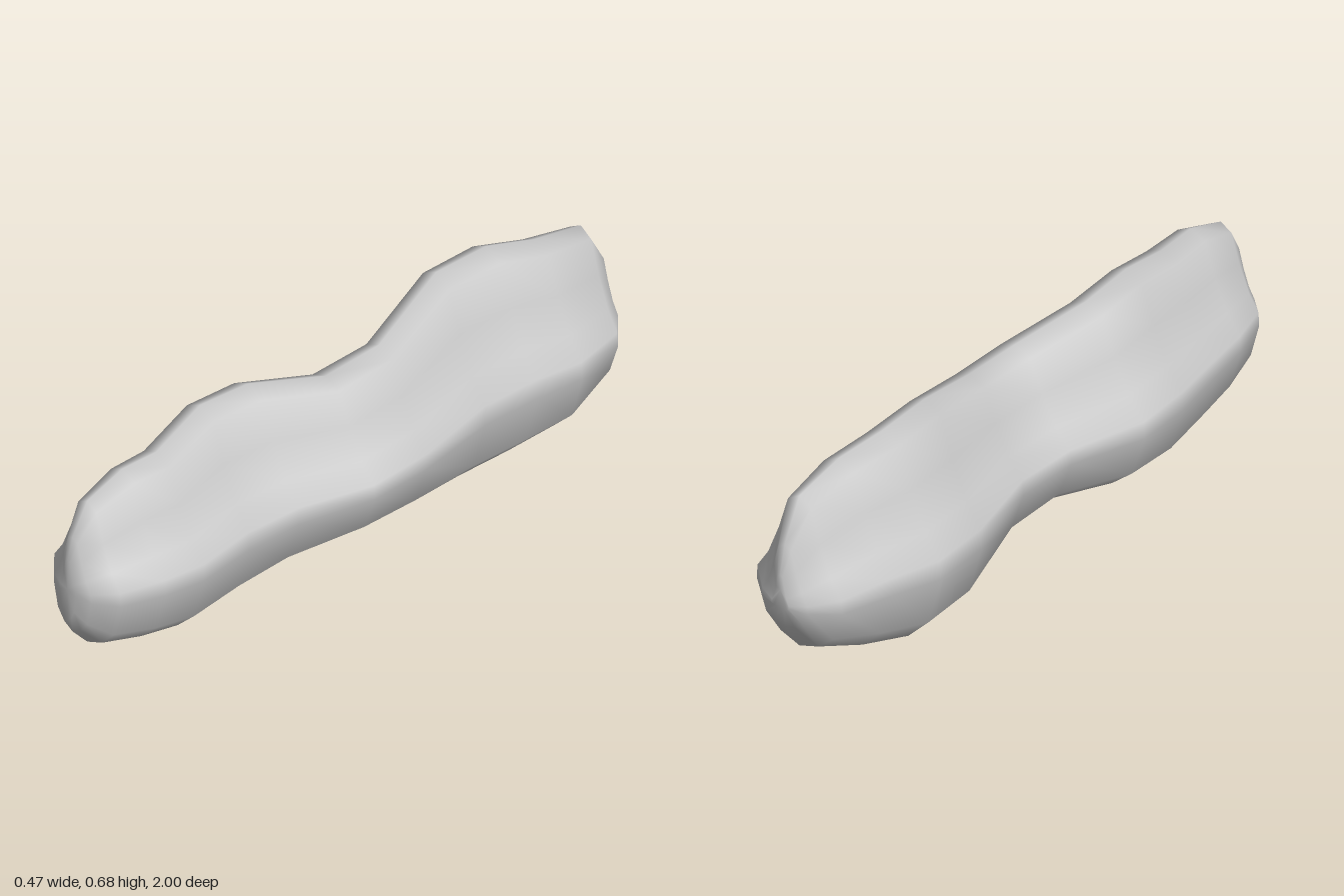
import * as THREE from 'three';

// Stations along the body: z, left edge, right edge, top, bottom
const STATIONS = [
  [-1.0, -0.03, 0.03, 0.40, 0.29],
  [-0.98, -0.08, 0.08, 0.49, 0.22],
  [-0.91, -0.145, 0.155, 0.61, 0.12],
  [-0.74, -0.185, 0.195, 0.645, 0.035],
  [-0.59, -0.235, 0.175, 0.675, 0.0],
  [-0.4, -0.225, 0.172, 0.68, 0.005],
  [-0.13, -0.155, 0.225, 0.597, 0.07],
  [0.07, -0.162, 0.235, 0.59, 0.085],
  [0.3, -0.235, 0.178, 0.64, 0.05],
  [0.48, -0.225, 0.172, 0.655, 0.03],
  [0.67, -0.19, 0.197, 0.605, 0.035],
  [0.8, -0.17, 0.18, 0.61, 0.06],
  [0.93, -0.13, 0.14, 0.565, 0.095],
  [0.985, -0.07, 0.08, 0.47, 0.155],
  [1.0, -0.03, 0.035, 0.40, 0.20],
];

// Half of the pear-shaped section, top to bottom: width and height fractions
const HALF = [
  [0, 1], [0.27, 0.92], [0.48, 0.58], [0.73, 0.27], [0.98, 0.08],
  [1, -0.1], [0.78, -0.63], [0.44, -0.87], [0, -1],
];
const SECTION = [...HALF, ...HALF.slice(1, -1).reverse().map(([u, v]) => [-u, v])];
const WAIST = 0.3;

function bodyGeometry() {
  const n = SECTION.length, pos = [], index = [];
  for (const [z, left, right, top, bottom] of STATIONS) {
    const cx = (left + right) / 2, half = (right - left) / 2;
    for (const [u, v] of SECTION) {
      const y = WAIST + v * (v > 0 ? top - WAIST : WAIST - bottom);
      pos.push(cx + u * half, y, z);
    }
  }
  // Skin between neighbouring sections
  const last = STATIONS.length - 1;
  for (let s = 0; s < last; s++) {
    for (let i = 0; i < n; i++) {
      const a = s * n + i, b = s * n + (i + 1) % n;
      index.push(a, b, a + n, b, b + n, a + n);
    }
  }
  // Small closing fans at both ends
  const back = pos.length / 3, front = back + 1;
  pos.push(0, 0.35, -1, 0, 0.3, 1);
  for (let i = 0; i < n; i++) {
    const j = (i + 1) % n;
    index.push(back, j, i, front, last * n + i, last * n + j);
  }
  const g = new THREE.BufferGeometry();
  g.setAttribute('position', new THREE.Float32BufferAttribute(pos, 3));
  g.setIndex(index);
  // Sections run clockwise seen from the front, so flip every triangle outward
  const a = g.index.array;
  for (let i = 0; i < a.length; i += 3) [a[i + 1], a[i + 2]] = [a[i + 2], a[i + 1]];
  g.computeVertexNormals();
  return g;
}

export function createModel() {
  const group = new THREE.Group();
  group.name = 'wavyBody';
  const body = new THREE.Mesh(bodyGeometry(), new THREE.MeshStandardMaterial({ color: 0xcccccc }));
  body.name = 'body';
  group.add(body);
  return group;
}
